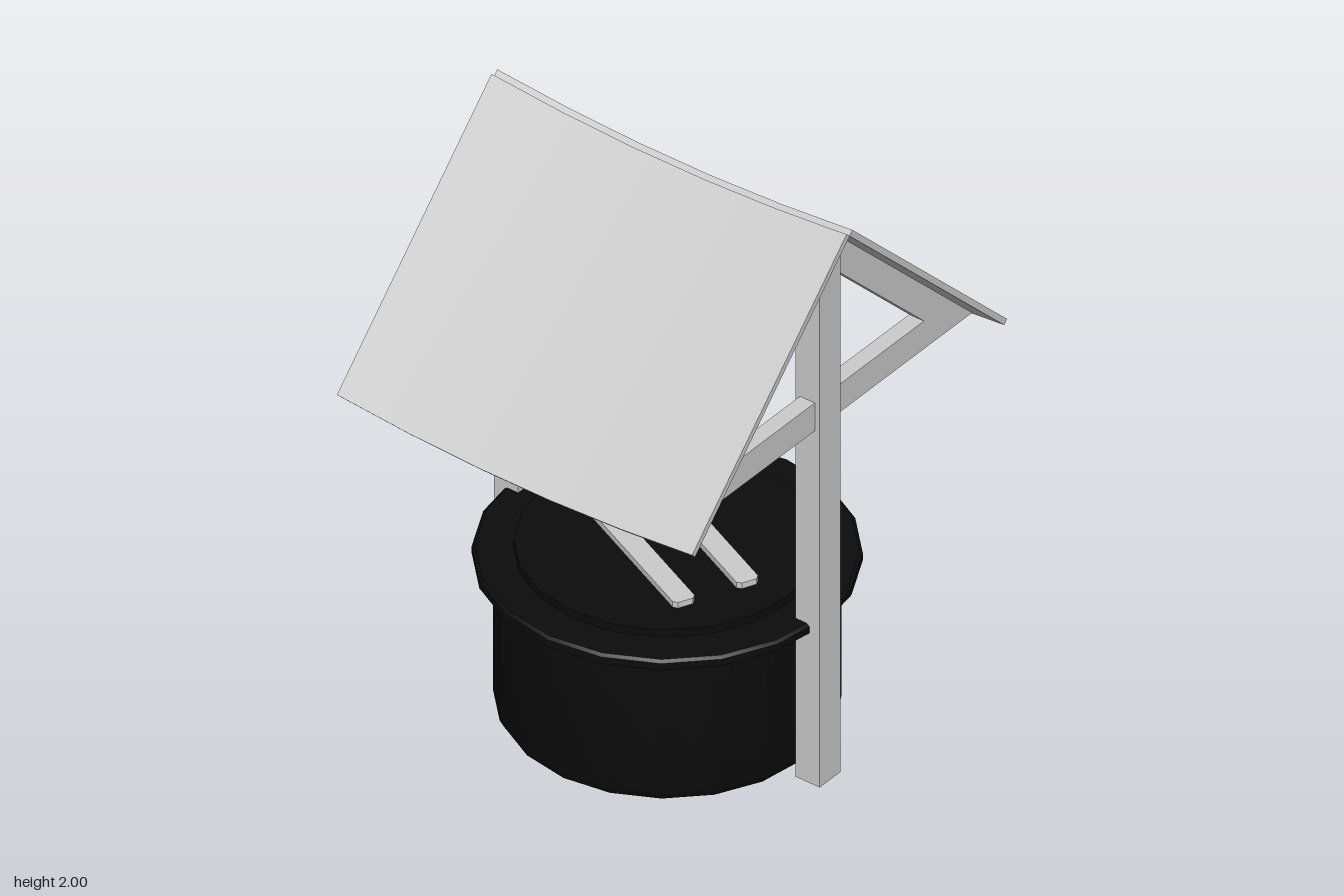
import * as THREE from 'three';
import { toCreasedNormals } from 'three/addons/utils/BufferGeometryUtils.js';

const CX = -0.0175;      // centre of the well and its frame
const POST_X = 0.5575;   // post distance from that centre
const APEX = 1.975;      // top of the timber frame
const ROOF_HALF = 0.657;

const wood = new THREE.MeshStandardMaterial({ color: 0xcccccc });
const black = new THREE.MeshStandardMaterial({ color: 0x0c0c0c });

function add(parent, name, geometry, material) {
  const mesh = new THREE.Mesh(geometry, material);
  mesh.name = name;
  parent.add(mesh);
  return mesh;
}

// Solid of revolution; profile runs from bottom to top
function turned(profile) {
  const points = profile.map(([r, y]) => new THREE.Vector2(r, y));
  return toCreasedNormals(new THREE.LatheGeometry(points, 20), 0.5);
}

// Square post with a gabled top and an open foot
function postGeometry() {
  const geo = new THREE.BoxGeometry(0.09, APEX, 0.1, 1, 1, 2);
  geo.translate(0, APEX / 2, 0);
  const p = geo.attributes.position;
  for (let i = 0; i < p.count; i++) {
    if (p.getY(i) > 1) p.setY(i, APEX - Math.abs(p.getZ(i)));
  }
  const foot = geo.groups[3];
  const index = Array.from(geo.index.array);
  index.splice(foot.start, foot.count);
  geo.setIndex(index);
  geo.clearGroups();
  return toCreasedNormals(geo, 0.3);
}

// Tie beam and two rafters as one triangular frame
function trussGeometry() {
  const low = 1.275, mid = 1.375, inner = 1.845, post = 0.05, thick = 0.055;
  const shape = new THREE.Shape([
    new THREE.Vector2(low - APEX, low),
    new THREE.Vector2(APEX - low, low),
    new THREE.Vector2(0, APEX),
  ]);
  for (const s of [-1, 1]) {
    shape.holes.push(new THREE.Path([
      new THREE.Vector2(s * post, mid),
      new THREE.Vector2(s * (inner - mid), mid),
      new THREE.Vector2(s * post, inner - post),
    ]));
  }
  const geo = new THREE.ExtrudeGeometry(shape, { depth: thick, bevelEnabled: false });
  return geo.translate(0, 0, -thick / 2).rotateY(Math.PI / 2);
}

// Sloping roof panel that sags in the middle of its span
function roofGeometry() {
  const t = 0.02, length = 1.042;
  const geo = new THREE.BoxGeometry(2 * ROOF_HALF, t, length, 5, 1, 1);
  geo.translate(0, -t / 2, length / 2).rotateX(Math.PI / 4).translate(0, 2, 0.014);
  const p = geo.attributes.position;
  for (let i = 0; i < p.count; i++) {
    const u = p.getX(i) / ROOF_HALF;
    p.setY(i, p.getY(i) - 0.035 * (1 - u * u));
  }
  geo.computeVertexNormals();
  return geo;
}

// Slat with clipped corners, lying flat
function slatGeometry() {
  const l = 0.315, w = 0.036, c = 0.012;
  const outline = [
    [-l, -w + c], [-l + c, -w], [l - c, -w], [l, -w + c],
    [l, w - c], [l - c, w], [-l + c, w], [-l, w - c],
  ].map(([x, y]) => new THREE.Vector2(x, y));
  const geo = new THREE.ExtrudeGeometry(new THREE.Shape(outline), { depth: 0.022, bevelEnabled: false });
  return geo.rotateX(-Math.PI / 2);
}

export function createModel() {
  const model = new THREE.Group();
  model.name = 'coveredWell';

  // Well tub, rim and lid
  const well = new THREE.Group();
  well.name = 'well';
  well.position.x = CX;
  model.add(well);
  add(well, 'tub', turned([[0, 0.01], [0.46, 0.01], [0.495, 0.022], [0.51, 0.05], [0.51, 0.54]]), black);
  add(well, 'rim', turned([[0.5, 0.53], [0.562, 0.53], [0.572, 0.538], [0.572, 0.562], [0.562, 0.57], [0.44, 0.57]]), black);
  add(well, 'lid', turned([[0.45, 0.56], [0.45, 0.595], [0, 0.595]]), black);

  // Two parallel slats set diagonally on the lid
  const slats = new THREE.Group();
  slats.name = 'lidSlats';
  slats.position.y = 0.593;
  slats.rotation.y = -0.428;
  well.add(slats);
  for (const s of [-1, 1]) add(slats, 'slat', slatGeometry(), wood).position.z = s * 0.105;

  // Posts and trusses at both ends
  for (const s of [-1, 1]) {
    const frame = new THREE.Group();
    frame.name = s > 0 ? 'leftFrame' : 'rightFrame';
    frame.position.x = CX + s * POST_X;
    add(frame, 'post', postGeometry(), wood);
    add(frame, 'truss', trussGeometry(), wood);
    model.add(frame);
  }

  // Roof panels, front and back
  add(model, 'frontRoof', roofGeometry(), wood);
  add(model, 'backRoof', roofGeometry(), wood).rotation.y = Math.PI;

  return model;
}
